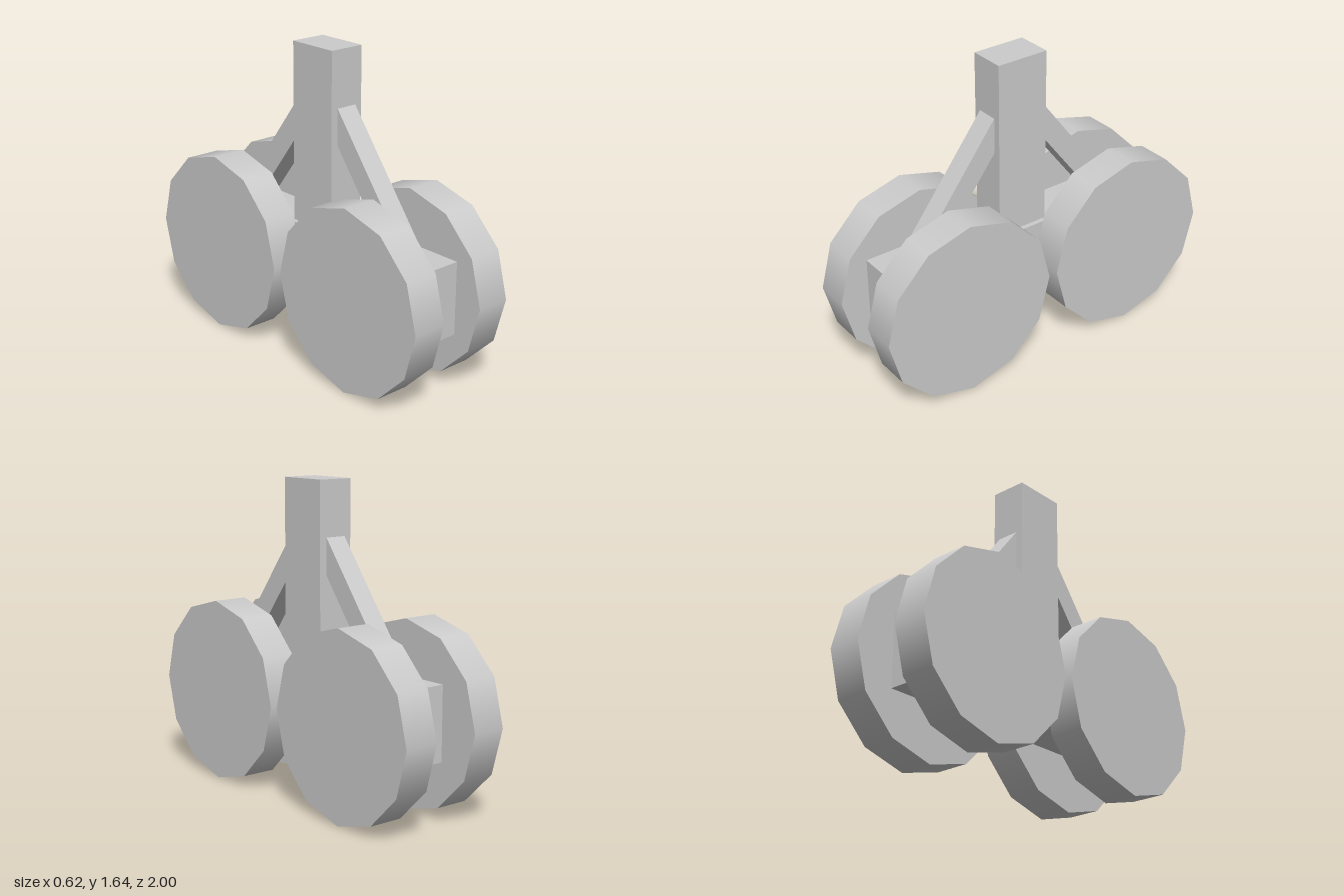
import * as THREE from 'three';

export function createModel() {
  const model = new THREE.Group();
  const material = new THREE.MeshStandardMaterial({ color: 0xcccccc });
  const midZ = 0.032; // the frame sits slightly forward of the wheels' centre

  const add = (name, geometry, x, y, z) => {
    const mesh = new THREE.Mesh(geometry, material);
    mesh.name = name;
    mesh.position.set(x, y, z);
    model.add(mesh);
    return mesh;
  };

  // Four twelve-sided wheels, corners on the axes
  const wheel = new THREE.CylinderGeometry(0.488, 0.488, 0.187, 12);
  wheel.rotateZ(Math.PI / 2);
  for (const [side, x] of [['left', 0.2165], ['right', -0.2165]]) {
    for (const [end, z] of [['Front', 0.512], ['Rear', -0.512]]) {
      add(`${side}${end}Wheel`, wheel, x, 0.488, z);
    }
  }

  // Beam between the wheels and the upright leg
  add('bogieBeam', new THREE.BoxGeometry(0.247, 0.387, 1.62), -0.002, 0.4965, midZ);
  add('mainLeg', new THREE.BoxGeometry(0.195, 1.14, 0.29), -0.002, 1.07, midZ + 0.003);

  // Slanted braces with upright ends, from the leg down into the beam
  const brace = (dir) => {
    const near = 0.143, far = 0.614;
    const shape = new THREE.Shape([
      new THREE.Vector2(dir * near, 1.35),
      new THREE.Vector2(dir * near, 1.16),
      new THREE.Vector2(dir * far, 0.55),
      new THREE.Vector2(dir * far, 0.74),
    ]);
    const geometry = new THREE.ExtrudeGeometry(shape, { depth: 0.117, bevelEnabled: false });
    geometry.translate(0, 0, -0.0585);
    geometry.rotateY(-Math.PI / 2); // shape x becomes z
    return geometry;
  };
  add('frontBrace', brace(1), -0.002, 0, midZ);
  add('rearBrace', brace(-1), -0.002, 0, midZ);

  return model;
}
